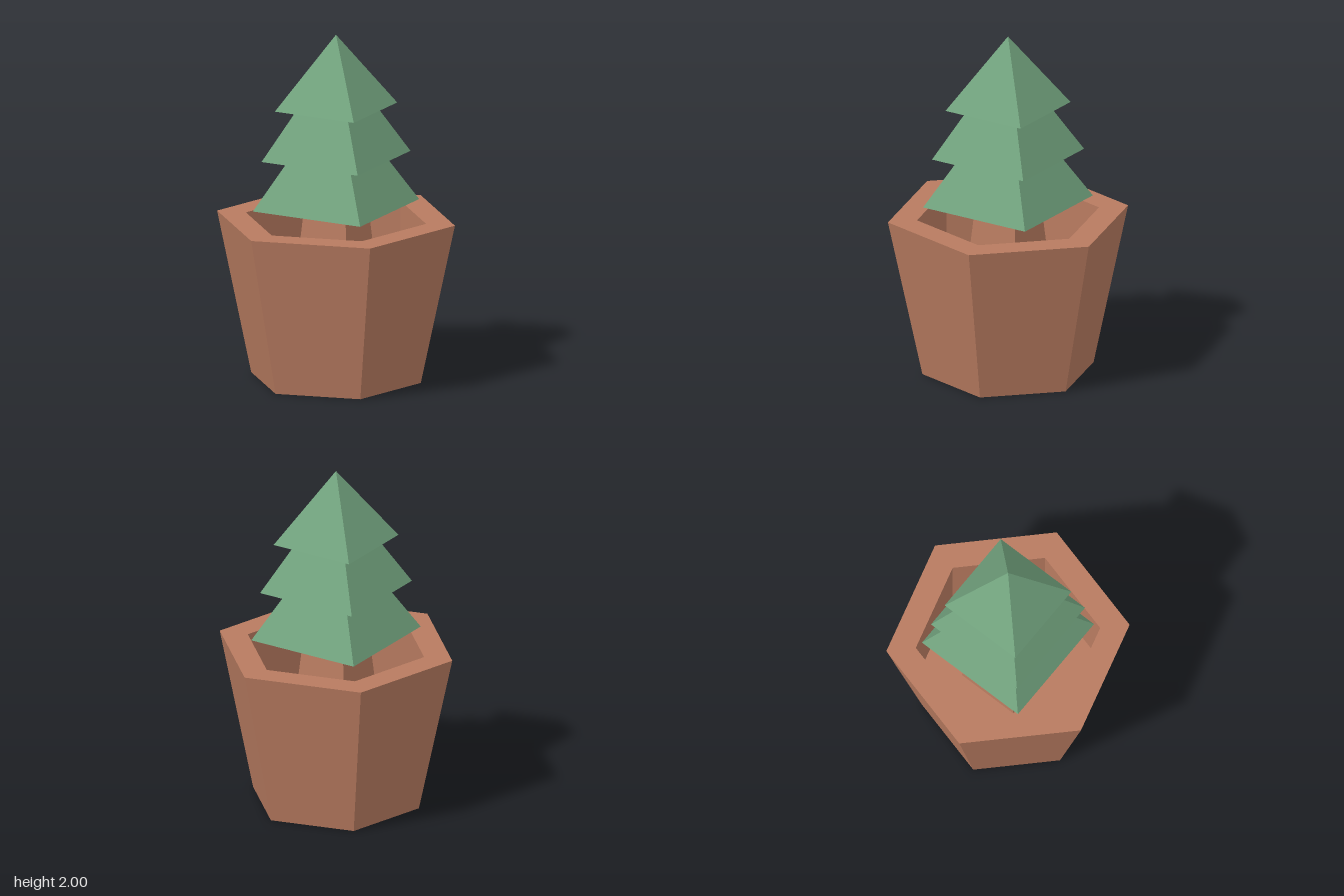
import * as THREE from 'three';

const clay = new THREE.MeshStandardMaterial({ color: 0xb87b60 });
clay.name = 'clay brown';
const needles = new THREE.MeshStandardMaterial({ color: 0x72a37e });
needles.name = 'needle green';

// Faceted mesh: every face gets its own flat normals
function addPart(parent, name, geometry, material, y = 0) {
  const flat = geometry.toNonIndexed();
  flat.computeVertexNormals();
  const mesh = new THREE.Mesh(flat, material);
  mesh.name = name;
  mesh.position.y = y;
  parent.add(mesh);
}

// Square frustum with its base on y = 0 and sides facing the axes
function squareFrustum(topHalf, baseHalf, height) {
  return new THREE.CylinderGeometry(topHalf * Math.SQRT2, baseHalf * Math.SQRT2, height, 4, 1, false, Math.PI / 4)
    .translate(0, height / 2, 0);
}

export function createModel() {
  const model = new THREE.Group();
  model.name = 'pottedTree';

  // Hexagonal pot: underside, flared wall, rim, straight inner wall and floor
  const floorY = 0.4;
  const profile = [[0, 0], [0.492, 0], [0.69, 0.93], [0.523, 0.93], [0.523, floorY], [0, floorY]]
    .map(([r, y]) => new THREE.Vector2(r, y));
  addPart(model, 'pot', new THREE.LatheGeometry(profile, 6, Math.PI / 4), clay);

  // Tapered square trunk standing on the pot floor
  addPart(model, 'trunk', squareFrustum(0.13, 0.185, 0.63), clay, floorY);

  // Three stacked pyramids: base half width, base height, apex height
  const tree = new THREE.Group();
  tree.name = 'foliage';
  model.add(tree);
  [['lowerTier', 0.345, 1.005, 1.66], ['middleTier', 0.309, 1.29, 1.895], ['upperTier', 0.254, 1.578, 2]]
    .forEach(([name, half, base, apex]) => {
      addPart(tree, name, squareFrustum(0, half, apex - base), needles, base);
    });

  return model;
}
